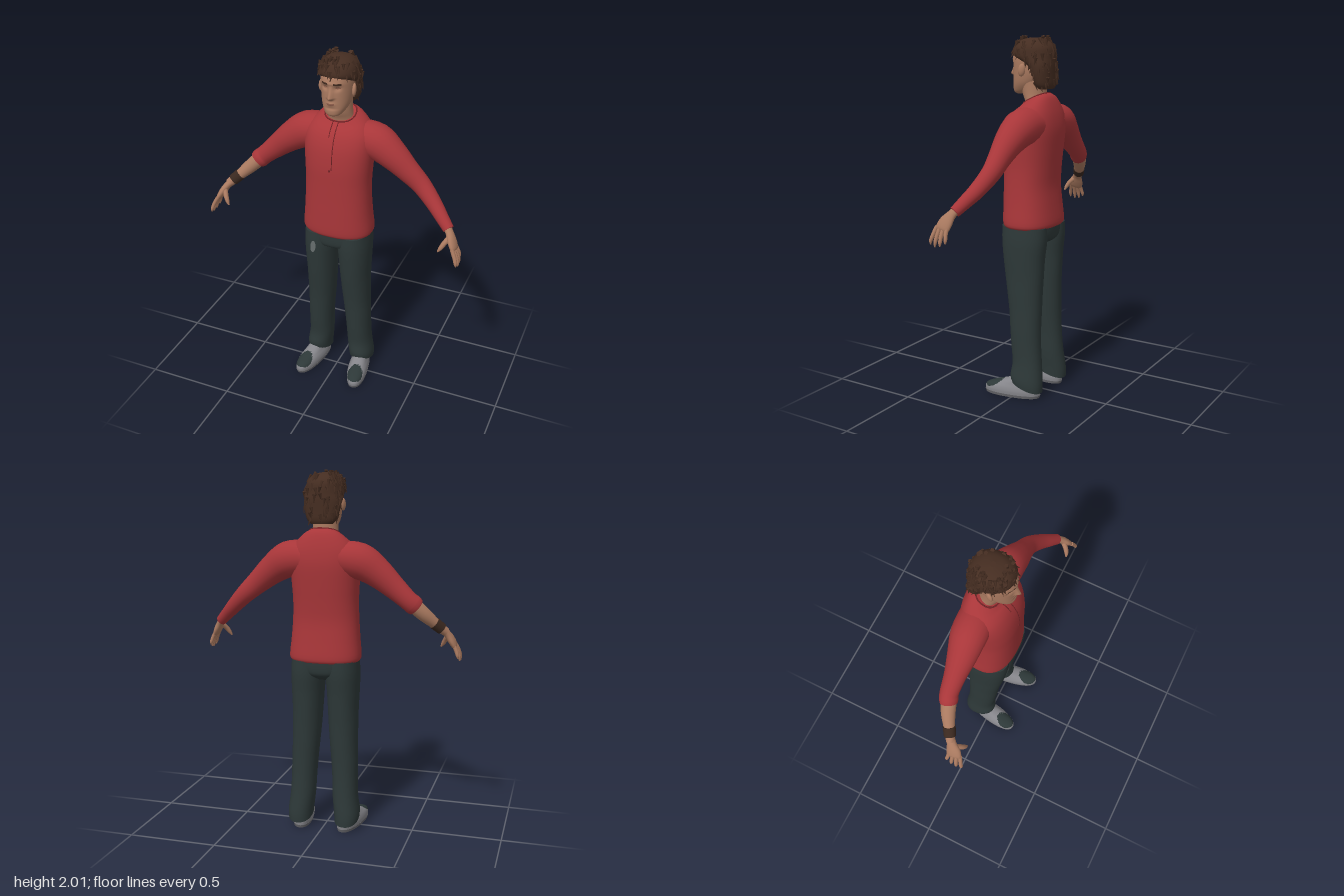
import * as THREE from 'three';
import { mergeGeometries } from 'three/addons/utils/BufferGeometryUtils.js';

const mat = (name, color, side = THREE.FrontSide) => new THREE.MeshStandardMaterial({ name, color, side });
const V = (x, y, z) => new THREE.Vector3(x, y, z);

// Catmull-Rom through rows of numbers, t from 0 to 1
function sample(rows, t) {
  const f = t * (rows.length - 1), i = Math.min(Math.floor(f), rows.length - 2), u = f - i;
  const at = k => rows[Math.max(0, Math.min(rows.length - 1, k))];
  return rows[0].map((_, c) => {
    const [a, b, d, e] = [at(i - 1)[c], at(i)[c], at(i + 1)[c], at(i + 2)[c]];
    return b + 0.5 * u * (d - a + u * (2 * a - 5 * b + 4 * d - e + u * (3 * (b - d) + e - a)));
  });
}

// Closed skin over rings of points; pick(centroid) chooses a material index
function skin(rings, pick) {
  const n = rings[0].length, pts = rings.flat(), groups = [[], [], []];
  const tri = (a, b, c) => {
    const m = V(0, 0, 0).add(pts[a]).add(pts[b]).add(pts[c]).divideScalar(3);
    groups[pick ? pick(m) : 0].push(a, b, c);
  };
  for (let i = 0; i < rings.length - 1; i++) for (let j = 0; j < n; j++) {
    const a = i * n + j, b = i * n + (j + 1) % n;
    tri(a, b, b + n);
    tri(a, b + n, a + n);
  }
  for (const [ring, end] of [[rings[0], false], [rings[rings.length - 1], true]]) {
    const s = pts.length;
    pts.push(...ring, ring.reduce((m, p) => m.add(p), V(0, 0, 0)).divideScalar(n));
    for (let j = 0; j < n; j++) {
      const a = s + j, b = s + (j + 1) % n;
      end ? tri(s + n, a, b) : tri(s + n, b, a);
    }
  }
  const g = new THREE.BufferGeometry().setFromPoints(pts);
  g.setIndex(groups.flat());
  let start = 0;
  if (pick) groups.forEach((list, k) => { g.addGroup(start, list.length, k); start += list.length; });
  g.computeVertexNormals();
  return g;
}

// Point on a horizontal section [y, half width, front z, back z, centre x, tilt]
function onSection([y, rx, zf, zb, cx = 0, tilt = 0], a, power = 2) {
  const bend = v => Math.sign(v) * Math.abs(v) ** (2 / power);
  const dz = (zf - zb) / 2 * bend(Math.cos(a));
  return V(cx + rx * bend(Math.sin(a)), y + tilt * dz, (zf + zb) / 2 + dz);
}

// Stack of horizontal sections, listed from the bottom up
function stack(rows, { sides = 40, steps = 4, power = 2, warp, pick } = {}) {
  const rings = [], count = (rows.length - 1) * steps;
  for (let i = 0; i <= count; i++) {
    const row = sample(rows, i / count);
    rings.push(Array.from({ length: sides }, (_, j) => {
      const p = onSection(row, j / sides * Math.PI * 2, power);
      if (warp) warp(p);
      return p;
    }));
  }
  return skin(rings, pick);
}

// Limb along points [x, y, z, radius, radius towards z]; s = -1 mirrors it
function limb(rows, s = 1, sides = 20, steps = 4) {
  const full = rows.map(r => [r[0] * s, r[1], r[2], r[3], r[4] ?? r[3]]);
  const count = (rows.length - 1) * steps, rings = [];
  for (let i = 0; i <= count; i++) {
    const t = i / count, [x, y, z, rn, rb] = sample(full, t);
    const a = sample(full, Math.max(0, t - 0.01)), b = sample(full, Math.min(1, t + 0.01));
    const dir = V(b[0] - a[0], b[1] - a[1], b[2] - a[2]).normalize();
    const nor = V(0, 0, 1).cross(dir).normalize(), bin = dir.clone().cross(nor);
    rings.push(Array.from({ length: sides }, (_, j) => {
      const q = j / sides * Math.PI * 2;
      return V(x, y, z).addScaledVector(nor, rn * Math.cos(q)).addScaledVector(bin, rb * Math.sin(q));
    }));
  }
  return skin(rings);
}

export function createModel() {
  const model = new THREE.Group();
  const shirt = mat('shirt red', 0xa83639), seam = mat('seam red', 0x752427);
  const trousers = mat('trouser green grey', 0x2d3838), skinTone = mat('skin', 0xaa7a60);
  const lip = mat('lip and eye shade', 0x8a5b49), hairMat = mat('hair brown', 0x452d21);
  const shoeMat = mat('shoe grey', 0x85858a), sole = mat('sole grey', 0x66666a);
  const leather = mat('wristband brown', 0x3a281f), patchMat = mat('patch grey', 0x6b7272, THREE.DoubleSide);
  const add = (name, geometry, material, parent = model) => {
    const m = new THREE.Mesh(geometry, material);
    m.name = name;
    parent.add(m);
    return m;
  };

  // Shirt body
  const torso = [
    [0.975, 0.19, 0.1, -0.168, 0, 0], [1.0, 0.2, 0.112, -0.176, 0, 0], [1.1, 0.191, 0.113, -0.166, 0, 0],
    [1.2, 0.184, 0.112, -0.158, 0, 0], [1.3, 0.181, 0.112, -0.164, 0, 0], [1.4, 0.186, 0.111, -0.174, 0, 0],
    [1.5, 0.192, 0.098, -0.182, 0, 0], [1.57, 0.185, 0.073, -0.177, 0, 0], [1.62, 0.155, 0.045, -0.163, 0, -0.1],
    [1.655, 0.115, 0.025, -0.14, 0, -0.35], [1.672, 0.084, 0.012, -0.112, 0, -0.5]];
  add('shirtBody', stack(torso, { power: 2.4 }), shirt);
  // Collar edge and placket seams
  const collar = Array.from({ length: 24 }, (_, i) => onSection(torso[10], i / 24 * Math.PI * 2, 2.4));
  add('collarEdge', new THREE.TubeGeometry(new THREE.CatmullRomCurve3(collar, true), 60, 0.004, 6, true), seam);
  for (const [x, low] of [[-0.018, 1.57], [0.012, 1.4]]) {
    const line = torso.filter(r => r[0] >= low).map(r => onSection(r, 0, 2.4).setX(x));
    add('placketSeam', new THREE.TubeGeometry(new THREE.CatmullRomCurve3(line), 24, 0.0025, 6), seam);
  }
  add('placketButton', new THREE.SphereGeometry(0.007, 10, 8), seam).position.set(0, 1.395, 0.11);

  // Sleeves: long on the left, pushed up on the right
  const upper = [[0.1, 1.54, -0.072, 0.095], [0.2, 1.527, -0.068, 0.1, 0.096], [0.29, 1.473, -0.06, 0.083, 0.08],
    [0.38, 1.398, -0.057, 0.065, 0.06], [0.46, 1.328, -0.055, 0.053, 0.05]];
  add('leftSleeve', limb([...upper, [0.54, 1.253, -0.027, 0.043], [0.6, 1.197, 0.008, 0.036], [0.65, 1.151, 0.038, 0.03]]), shirt);
  add('rightSleeve', limb([...upper, [0.49, 1.302, -0.046, 0.054, 0.05], [0.505, 1.288, -0.039, 0.049, 0.046]], -1), shirt);
  add('rightForearm', limb([[0.47, 1.319, -0.05, 0.042], [0.54, 1.253, -0.026, 0.039], [0.6, 1.197, 0.008, 0.03],
    [0.655, 1.147, 0.042, 0.024]], -1), skinTone);
  add('wristband', limb([[0.597, 1.2, 0.006, 0.034], [0.634, 1.166, 0.028, 0.032]], -1), leather);

  // Hands
  for (const s of [1, -1]) {
    const hand = new THREE.Group();
    hand.name = s > 0 ? 'leftHand' : 'rightHand';
    model.add(hand);
    add('palm', limb([[0.635, 1.165, 0.03, 0.022, 0.023], [0.66, 1.138, 0.05, 0.02, 0.027],
      [0.68, 1.105, 0.068, 0.021, 0.04], [0.697, 1.073, 0.08, 0.017, 0.042], [0.703, 1.06, 0.084, 0.008, 0.036]], s), skinTone, hand);
    for (let i = 0; i < 4; i++) {
      const z = 0.052 + i * 0.021, long = [0.8, 0.96, 1, 0.9][i], spread = (i - 1.5) * 0.004;
      add('finger', limb([[0.695, 1.08, z, 0.011], [0.695 + 0.022 * long, 1.08 - 0.045 * long, z + 0.004 + spread, 0.011],
        [0.695 + 0.033 * long, 1.08 - 0.078 * long, z + 0.006 + 2 * spread, 0.0095],
        [0.695 + 0.036 * long, 1.08 - 0.1 * long, z + 0.006 + 2 * spread, 0.003]], s, 10), skinTone, hand);
    }
    add('thumb', limb([[0.668, 1.125, 0.07, 0.015], [0.648, 1.098, 0.098, 0.014], [0.632, 1.07, 0.113, 0.011],
      [0.62, 1.05, 0.118, 0.004]], s, 10), skinTone, hand);
  }

  // Trousers
  add('trouserSeat', stack([[0.87, 0.07, 0.03, -0.1], [0.9, 0.135, 0.085, -0.15], [0.94, 0.182, 0.099, -0.163],
    [1.01, 0.182, 0.1, -0.165]], { power: 2.4 }), trousers);
  for (const s of [1, -1]) {
    add(s > 0 ? 'leftTrouserLeg' : 'rightTrouserLeg', stack([
      [0.065, 0.068, 0.022, -0.16, 0.136, 0.3], [0.11, 0.071, 0.03, -0.16, 0.135, 0.2], [0.2, 0.07, 0.022, -0.148, 0.124, 0],
      [0.3, 0.07, 0.032, -0.14, 0.12, 0], [0.4, 0.073, 0.041, -0.137, 0.116, 0], [0.5, 0.076, 0.05, -0.138, 0.11, 0],
      [0.6, 0.08, 0.064, -0.14, 0.106, 0], [0.7, 0.083, 0.079, -0.145, 0.103, 0], [0.8, 0.088, 0.091, -0.151, 0.102, 0],
      [0.9, 0.093, 0.1, -0.162, 0.099, 0], [0.98, 0.09, 0.1, -0.162, 0.097, 0]].map(r => r.with(4, r[4] * s)),
      { sides: 32, power: 2.2 }), trousers);
  }
  // Worn patch on the right thigh
  const patch = add('thighPatch', new THREE.CircleGeometry(0.5, 14), patchMat);
  patch.scale.set(0.032, 0.085, 1);
  patch.position.set(-0.105, 0.89, 0.103);
  patch.rotation.set(0.1, 0, -0.15);

  // Shoes with a dark toe panel
  for (const s of [1, -1]) {
    const shoe = new THREE.Group();
    shoe.name = s > 0 ? 'leftShoe' : 'rightShoe';
    shoe.position.x = 0.145 * s;
    shoe.rotation.y = 0.17 * s;
    model.add(shoe);
    const toePanel = p => p.y > 0.04 && (p.x / 0.044) ** 2 + ((p.z - 0.125) / 0.055) ** 2 < 1 ? 1 : 0;
    add('shoeUpper', stack([[0.014, 0.057, 0.184, -0.144], [0.035, 0.058, 0.185, -0.146], [0.055, 0.054, 0.17, -0.143],
      [0.075, 0.046, 0.115, -0.138], [0.095, 0.04, 0.05, -0.13], [0.12, 0.034, 0.0, -0.12]],
      { sides: 48, steps: 6, power: 2.3, pick: toePanel }), [shoeMat, trousers], shoe);
    add('shoeSole', stack([[0, 0.055, 0.181, -0.142], [0.016, 0.058, 0.186, -0.147]], { power: 2.3 }), sole, shoe);
  }

  // Neck, head and ears
  add('neck', stack([[1.58, 0.085, 0.0, -0.12], [1.65, 0.075, 0.008, -0.105], [1.7, 0.07, 0.028, -0.1], [1.78, 0.07, 0.04, -0.1]]), skinTone);
  const bump = (d, w) => Math.exp(-((d / w) ** 2));
  const face = p => {
    if (p.z < 0.02) return;
    const x = Math.abs(p.x), y = p.y;
    const nose = y > 1.8 ? Math.max(0, (1.867 - y) / 0.067) : Math.max(0, 1 - (1.8 - y) / 0.014);
    p.z += 0.03 * nose * bump(x, 0.009 + 0.006 * nose)
      - 0.012 * bump(x - 0.034, 0.017) * bump(y - 1.853, 0.013) + 0.004 * bump(y - 1.876, 0.008) * bump(x, 0.05)
      + 0.006 * bump(x, 0.022) * bump(y - 1.766, 0.009) - 0.004 * bump(x, 0.03) * bump(y - 1.742, 0.007);
  };
  const features = p => {
    const x = Math.abs(p.x);
    if (p.z < 0.03) return 0;
    if (Math.abs(p.y - 1.875) < 0.004 && x > 0.016 && x < 0.052) return 2;
    return (x / 0.024) ** 2 + ((p.y - 1.766) / 0.006) ** 2 < 1
      || ((x - 0.034) / 0.013) ** 2 + ((p.y - 1.853) / 0.005) ** 2 < 1 ? 1 : 0;
  };
  add('head', stack([[1.694, 0.02, 0.07, 0.03], [1.705, 0.043, 0.085, -0.01], [1.73, 0.061, 0.089, -0.055], [1.76, 0.074, 0.087, -0.09],
    [1.8, 0.082, 0.087, -0.12], [1.84, 0.086, 0.087, -0.13], [1.875, 0.087, 0.089, -0.135], [1.91, 0.086, 0.08, -0.135],
    [1.95, 0.076, 0.052, -0.12], [1.98, 0.045, 0.01, -0.08]],
    { sides: 80, steps: 7, power: 2.2, warp: face, pick: features }), [skinTone, lip, hairMat]);
  for (const s of [1, -1]) {
    const ear = add('ear', new THREE.SphereGeometry(1, 14, 10), skinTone);
    ear.scale.set(0.012, 0.034, 0.02);
    ear.position.set(0.09 * s, 1.825, -0.008);
    ear.rotation.set(-0.15, 0.35 * s, 0);
  }

  // Hair: a cap with shaggy locks
  const hair = [[1.725, 0.06, -0.08, -0.14], [1.75, 0.082, -0.06, -0.15], [1.8, 0.096, -0.045, -0.151], [1.85, 0.102, -0.015, -0.152],
    [1.885, 0.104, 0.055, -0.15], [1.91, 0.103, 0.082, -0.148], [1.94, 0.098, 0.076, -0.142],
    [1.965, 0.083, 0.058, -0.124], [1.985, 0.055, 0.025, -0.09], [1.994, 0.015, -0.02, -0.045]];
  add('hairCap', stack(hair, { power: 2.2 }), hairMat);
  let seed = 7;
  const rand = () => (seed = (seed * 16807) % 2147483647) / 2147483647;
  const locks = [];
  for (let i = 0; i < 150; i++) {
    const a = rand() * Math.PI * 2, row = sample(hair, 0.02 + rand() * 0.85);
    const p = onSection(row, a, 2.2);
    if (p.z > -0.03 && p.y < 1.9) continue;
    const out = V(p.x, 0, p.z + 0.04).normalize();
    const dir = V((rand() - 0.5) * 0.7, -1, (rand() - 0.5) * 0.7).addScaledVector(out, p.y > 1.9 ? 0.5 : 0.2).normalize();
    const lock = new THREE.ConeGeometry(0.011, 0.04 + rand() * 0.02, 5);
    lock.applyQuaternion(new THREE.Quaternion().setFromUnitVectors(V(0, 1, 0), dir));
    locks.push(lock.translate(p.x, p.y, p.z));
  }
  add('hairLocks', mergeGeometries(locks), hairMat);
  return model;
}
